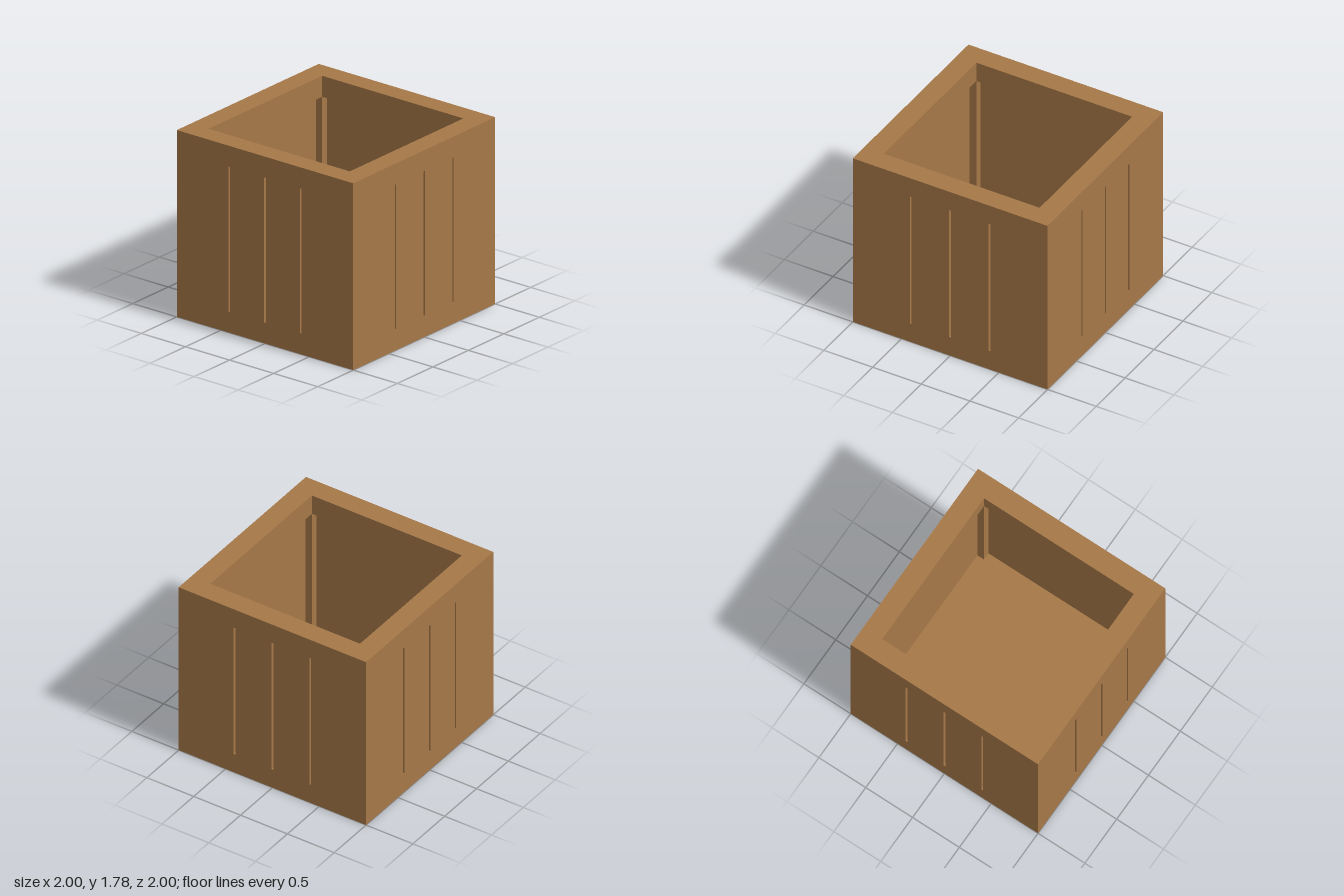
import * as THREE from 'three';

const wood = new THREE.MeshStandardMaterial({ color: 0xa67848, side: THREE.DoubleSide });
wood.name = 'warm wood';

const H = 1.78;      // total height
const T = 0.2;       // post and rail thickness
const IN = 1 - T;    // half width of the opening
const RIM = H - T;   // underside of the rim
const FLOOR = 0.13;  // underside of the floor
const SLOT_W = 0.02, SLOT_D = 0.03;

function add(parent, name, geometry, x = 0, y = 0, z = 0) {
  const mesh = new THREE.Mesh(geometry, wood);
  mesh.name = name;
  mesh.position.set(x, y, z);
  parent.add(mesh);
  return mesh;
}

function rect(Type, x0, y0, x1, y1) {
  const s = new Type();
  s.moveTo(x0, y0).lineTo(x1, y0).lineTo(x1, y1).lineTo(x0, y1).closePath();
  return s;
}

// One side, built facing +z: slotted facing, inner lining, hollow bottom rail
function makeSide() {
  const side = new THREE.Group();
  side.name = 'side';
  const facing = rect(THREE.Shape, -IN, 0, IN, RIM + T / 2);
  const slotH = RIM - T, midY = (RIM + T) / 2;
  const slots = [-0.405, 0, 0.405];
  for (const x of slots) {
    facing.holes.push(rect(THREE.Path, x - SLOT_W / 2, T, x + SLOT_W / 2, RIM));
    // Recessed groove: back, two cheeks, top and bottom
    add(side, 'grooveBack', new THREE.PlaneGeometry(SLOT_W, slotH), x, midY, 1 - SLOT_D);
    for (const s of [-1, 1]) {
      add(side, 'grooveCheek', new THREE.PlaneGeometry(SLOT_D, slotH).rotateY(-s * Math.PI / 2),
        x + s * SLOT_W / 2, midY, 1 - SLOT_D / 2);
      add(side, 'grooveEnd', new THREE.PlaneGeometry(SLOT_W, SLOT_D).rotateX(s * Math.PI / 2),
        x, midY + s * slotH / 2, 1 - SLOT_D / 2);
    }
  }
  // The facing stops at the rim
  facing.curves.length = 0;
  facing.moveTo(-IN, 0).lineTo(IN, 0).lineTo(IN, RIM).lineTo(-IN, RIM).closePath();
  add(side, 'facing', new THREE.ShapeGeometry(facing), 0, 0, 1);

  add(side, 'lining', new THREE.PlaneGeometry(2 * IN, RIM - T).rotateY(Math.PI), 0, midY, 0.87);
  add(side, 'railInner', new THREE.PlaneGeometry(2 * IN, T).rotateY(Math.PI), 0, T / 2, IN);
  add(side, 'railTop', new THREE.PlaneGeometry(2 * IN, T - SLOT_D).rotateX(-Math.PI / 2),
    0, T, IN + (T - SLOT_D) / 2);
  return side;
}

export function createModel() {
  const model = new THREE.Group();
  model.name = 'planterBox';

  // Four sides around the centre
  for (let i = 0; i < 4; i++) {
    const side = makeSide();
    side.rotation.y = i * Math.PI / 2;
    model.add(side);
  }

  // Corner posts
  for (const x of [-1, 1]) for (const z of [-1, 1])
    add(model, 'cornerPost', new THREE.BoxGeometry(T, RIM, T), x * (1 - T / 2), RIM / 2, z * (1 - T / 2));

  // Square rim
  const frame = rect(THREE.Shape, -1, -1, 1, 1);
  frame.holes.push(rect(THREE.Path, -IN, -IN, IN, IN));
  add(model, 'rim', new THREE.ExtrudeGeometry(frame, { depth: T, bevelEnabled: false }).rotateX(-Math.PI / 2), 0, RIM, 0);

  // Raised floor
  add(model, 'floor', new THREE.BoxGeometry(2 * IN, T - FLOOR, 2 * IN), 0, (T + FLOOR) / 2, 0);
  return model;
}
